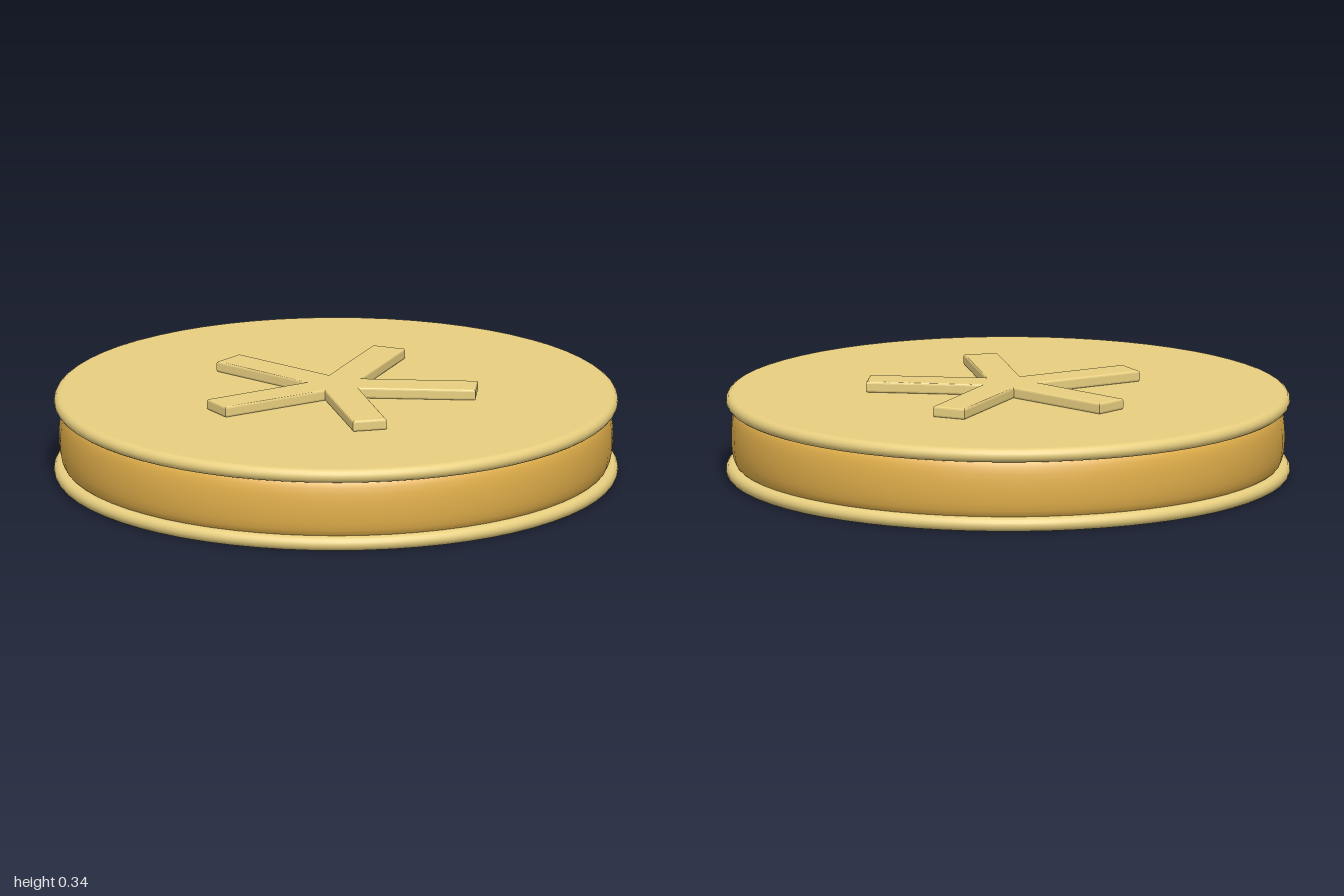
import * as THREE from 'three';

const SEGMENTS = 64;
const shellMaterial = new THREE.MeshStandardMaterial({ color: 0xe8cf80 });
const fillingMaterial = new THREE.MeshStandardMaterial({ color: 0xe3b04b });

function lathe(name, points, material) {
  const profile = points.map(([r, y]) => new THREE.Vector2(r, y));
  const mesh = new THREE.Mesh(new THREE.LatheGeometry(profile, SEGMENTS), material);
  mesh.name = name;
  return mesh;
}

// Thin disc with a rounded rim, profile running from bottom centre to top centre
function disc(name, y) {
  const h = 0.05, r = h / 2;
  const points = [[0, y], [0.97, y]];
  for (let i = 0; i <= 8; i++) {
    const a = -Math.PI / 2 + (i / 8) * Math.PI;
    points.push([1 - r + r * Math.cos(a), y + r + r * Math.sin(a)]);
  }
  points.push([0.97, y + h], [0, y + h]);
  return lathe(name, points, shellMaterial);
}

// Bulging band between the discs
function filling() {
  const points = [];
  for (let i = 0; i <= 12; i++) {
    const a = -Math.PI / 2 + (i / 12) * Math.PI;
    points.push([0.93 + 0.052 * Math.sqrt(Math.cos(a) + 1e-6), 0.15 + 0.11 * Math.sin(a)]);
  }
  return lathe('filling', points, fillingMaterial);
}

// Five straight arms joined at the centre, with softened edges
function star() {
  const half = 0.062, reach = 0.5, step = (Math.PI * 2) / 5;
  const inner = half / Math.sin(step / 2);
  const outline = [];
  for (let i = 0; i < 5; i++) {
    const centre = new THREE.Vector2();
    const a = -i * step;
    const corners = [[-half, reach], [half, reach], [half, inner * Math.cos(step / 2)]];
    for (const [x, y] of corners) outline.push(new THREE.Vector2(x, y).rotateAround(centre, a));
  }
  const bevel = 0.008;
  const geometry = new THREE.ExtrudeGeometry(new THREE.Shape(outline), {
    depth: 0.04 - 2 * bevel, bevelEnabled: true, bevelSize: bevel,
    bevelThickness: bevel, bevelOffset: -bevel, bevelSegments: 3,
  });
  geometry.rotateX(-Math.PI / 2).translate(0, 0.3 + bevel, 0);
  const mesh = new THREE.Mesh(geometry, shellMaterial);
  mesh.name = 'starOrnament';
  return mesh;
}

export function createModel() {
  const model = new THREE.Group();
  model.name = 'filledRoundBiscuit';
  model.add(disc('bottomDisc', 0), filling(), disc('topDisc', 0.25), star());
  return model;
}
